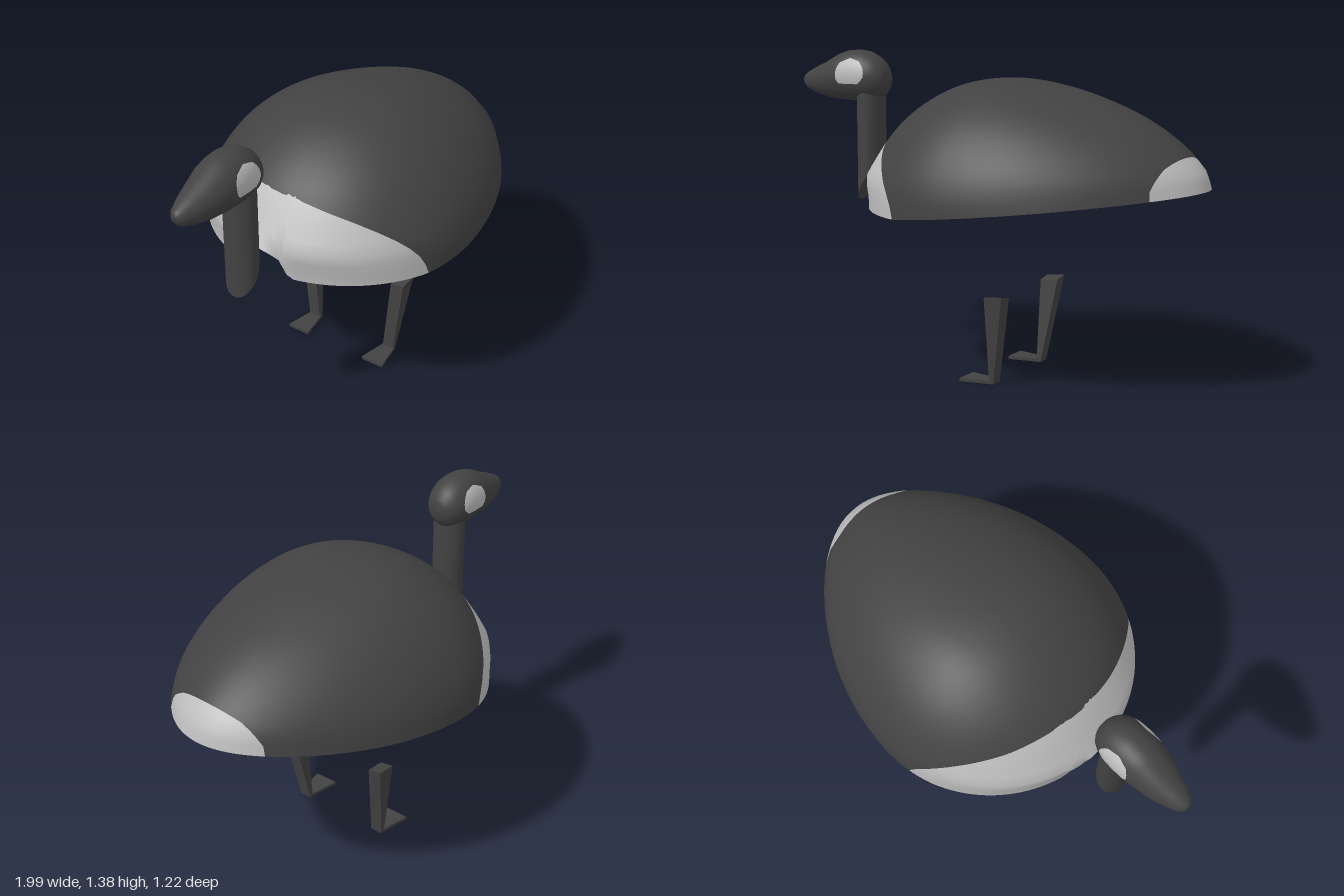
import * as THREE from 'three';

const lerp = THREE.MathUtils.lerp;

// Smooth surface from rows of closed rings
function ringSurface(rows, cols, point) {
  const pos = [], index = [];
  for (let i = 0; i <= rows; i++)
    for (let j = 0; j < cols; j++) pos.push(...point(i / rows, (j / cols) * Math.PI * 2));
  for (let i = 0; i < rows; i++)
    for (let j = 0; j < cols; j++) {
      const k = (j + 1) % cols;
      const a = i * cols + j, d = i * cols + k, b = a + cols, c = d + cols;
      index.push(a, d, b, b, d, c);
    }
  const geo = new THREE.BufferGeometry();
  geo.setAttribute('position', new THREE.Float32BufferAttribute(pos, 3));
  geo.setIndex(index);
  geo.computeVertexNormals();
  return geo;
}

// Keep the side of a surface where f(x, y, z) * sign is positive, cutting triangles cleanly
function clip(geo, f, sign) {
  const g = geo.toNonIndexed(), P = g.attributes.position, N = g.attributes.normal;
  const pos = [], nor = [];
  for (let t = 0; t < P.count; t += 3) {
    const poly = [];
    const tri = [0, 1, 2].map((k) => {
      const p = new THREE.Vector3().fromBufferAttribute(P, t + k);
      return { p, n: new THREE.Vector3().fromBufferAttribute(N, t + k), v: f(p.x, p.y, p.z) * sign };
    });
    tri.forEach((a, k) => {
      const b = tri[(k + 1) % 3];
      if (a.v >= 0) poly.push(a);
      if ((a.v >= 0) !== (b.v >= 0)) {
        const s = a.v / (a.v - b.v);
        poly.push({ p: a.p.clone().lerp(b.p, s), n: a.n.clone().lerp(b.n, s).normalize() });
      }
    });
    for (let k = 1; k + 1 < poly.length; k++)
      for (const q of [poly[0], poly[k], poly[k + 1]]) {
        pos.push(q.p.x, q.p.y, q.p.z);
        nor.push(q.n.x, q.n.y, q.n.z);
      }
  }
  const out = new THREE.BufferGeometry();
  out.setAttribute('position', new THREE.Float32BufferAttribute(pos, 3));
  out.setAttribute('normal', new THREE.Float32BufferAttribute(nor, 3));
  return out;
}

// Linear lookup in rows sorted by their first value
function sample(table, t) {
  let i = 0;
  while (i < table.length - 2 && t > table[i + 1][0]) i++;
  const a = table[i], b = table[i + 1], s = (t - a[0]) / (b[0] - a[0]);
  return a.map((v, k) => lerp(v, b[k], s));
}

// Body levels: sqrt(depth below the crown), breast x, tail x, half width
const TOP = 1.28;
const BODY = [
  [0, 0.1, 0.1, 0], [0.075, 0.008, 0.205, 0.1], [0.15, -0.08, 0.31, 0.198], [0.225, -0.16, 0.435, 0.274],
  [0.3, -0.235, 0.56, 0.342], [0.375, -0.31, 0.688, 0.41], [0.45, -0.38, 0.8, 0.473],
  [0.525, -0.437, 0.9, 0.529], [0.6, -0.492, 0.975, 0.577], [0.655, -0.538, 0.995, 0.6],
  [0.69, -0.512, 1.0, 0.609], [0.75, -0.508, 1.0, 0.612],
];

function bodyPoint(t, phi) {
  const c = Math.cos(phi), s = Math.sin(phi);
  // Lower rim rises to the tail, with an arched neck opening at the breast
  let rim = Math.max(0.73, 0.745 + 0.11 * (0.1 + c * (c < 0 ? 0.61 : 0.9)));
  const zn = (0.61 * s) / 0.12;
  if (c < 0 && Math.abs(zn) < 1) rim = 0.73 + 0.125 * Math.sqrt(1 - zn * zn);
  const v = Math.sqrt(TOP - rim) * t;
  const [, front, back, w] = sample(BODY, v);
  const x = 0.1 + (c < 0 ? 0.1 - front : back - 0.1) * c;
  const taper = c > 0 ? 1 - 0.17 * c * c : 1;
  return [x, TOP - v * v, w * s * taper];
}

// Head sections: x, bottom y, top y, half width
const HEAD = [
  [-1, 1.235, 1.245, 0.004], [-0.995, 1.212, 1.262, 0.023], [-0.975, 1.195, 1.276, 0.04],
  [-0.93, 1.178, 1.298, 0.06], [-0.86, 1.162, 1.328, 0.082], [-0.79, 1.155, 1.364, 0.097],
  [-0.74, 1.152, 1.378, 0.103], [-0.69, 1.15, 1.382, 0.105], [-0.64, 1.152, 1.376, 0.102],
  [-0.6, 1.158, 1.358, 0.092], [-0.57, 1.172, 1.335, 0.076], [-0.55, 1.195, 1.305, 0.052],
  [-0.542, 1.215, 1.285, 0.032], [-0.538, 1.248, 1.252, 0.004],
];

function headPoint(t, phi) {
  const [x, lo, hi, w] = HEAD[Math.round(t * (HEAD.length - 1))];
  return [x, (lo + hi) / 2 + ((hi - lo) / 2) * Math.cos(phi), w * Math.sin(phi)];
}

// Box whose vertices are placed by rule(x, y, z), each input 0 or 1
function shapedBox(rule) {
  const geo = new THREE.BoxGeometry(1, 1, 1), p = geo.attributes.position;
  for (let i = 0; i < p.count; i++)
    p.setXYZ(i, ...rule(p.getX(i) + 0.5, p.getY(i) + 0.5, p.getZ(i) + 0.5));
  geo.computeVertexNormals();
  return geo;
}

export function createModel() {
  const model = new THREE.Group();
  model.name = 'goose';
  const dark = new THREE.MeshStandardMaterial({ name: 'charcoal', color: 0x424242, side: THREE.DoubleSide });
  const pale = new THREE.MeshStandardMaterial({ name: 'paleGrey', color: 0xbcbcbc, side: THREE.DoubleSide });
  const add = (name, geo, mat) => {
    const mesh = new THREE.Mesh(geo, mat);
    mesh.name = name;
    model.add(mesh);
  };

  // Open body shell, split into back, breast and tail patch
  const shell = ringSurface(22, 128, bodyPoint);
  const breastEdge = (x, y, z) => {
    const d = Math.max(0, 1.05 - y);
    return x + 0.4 - 1.8 * d + 2.5 * d * d + 0.09 * z;
  };
  const tailEdge = (x, y, z) =>
    x < 0.5 ? 1 : ((z - 0.01) / 0.26) ** 2 + ((y - 0.84) / 0.15) ** 2 - 1;
  const rear = clip(shell, breastEdge, 1);
  add('breast', clip(shell, breastEdge, -1), pale);
  add('body', clip(rear, tailEdge, 1), dark);
  add('tailPatch', clip(rear, tailEdge, -1), pale);

  // Head with cheek patches
  const skull = ringSurface(HEAD.length - 1, 48, headPoint);
  const cheekEdge = (x, y) =>
    Math.max(((x + 0.685) / 0.078) ** 2 + ((y - 1.275) / 0.072) ** 2 - 1, (1.232 - y) * 20);
  add('head', clip(skull, cheekEdge, 1), dark);
  add('cheeks', clip(skull, cheekEdge, -1), pale);

  // Oval neck with a slanted lower end
  const neck = new THREE.CylinderGeometry(0.06, 0.06, 1, 32);
  const np = neck.attributes.position;
  for (let i = 0; i < np.count; i++) {
    const x = np.getX(i);
    np.setXYZ(i, x - 0.63, np.getY(i) > 0 ? 1.2 : 0.79 + 1.5 * x, np.getZ(i) * 1.25);
  }
  neck.computeVertexNormals();
  add('neck', neck, dark);

  // Splayed legs and wedge feet
  for (const s of [1, -1]) {
    const side = s > 0 ? 'left' : 'right';
    const out = (z) => (s > 0 ? z : 1 - z);
    add(side + 'Leg', shapedBox((x, y, z) => [
      lerp(0.13, lerp(0.15, 0.215, y), x),
      y * (0.37 + 0.008 * x + 0.012 * out(z)),
      s * lerp(lerp(0.18, 0.215, y), lerp(0.235, 0.28, y), out(z)),
    ]), dark);
    add(side + 'Foot', shapedBox((x, y, z) => [
      0.15 * x,
      0.014 * y,
      s * (0.208 + lerp(0.055, 0.027, x) * (2 * out(z) - 1)),
    ]), dark);
  }
  return model;
}
